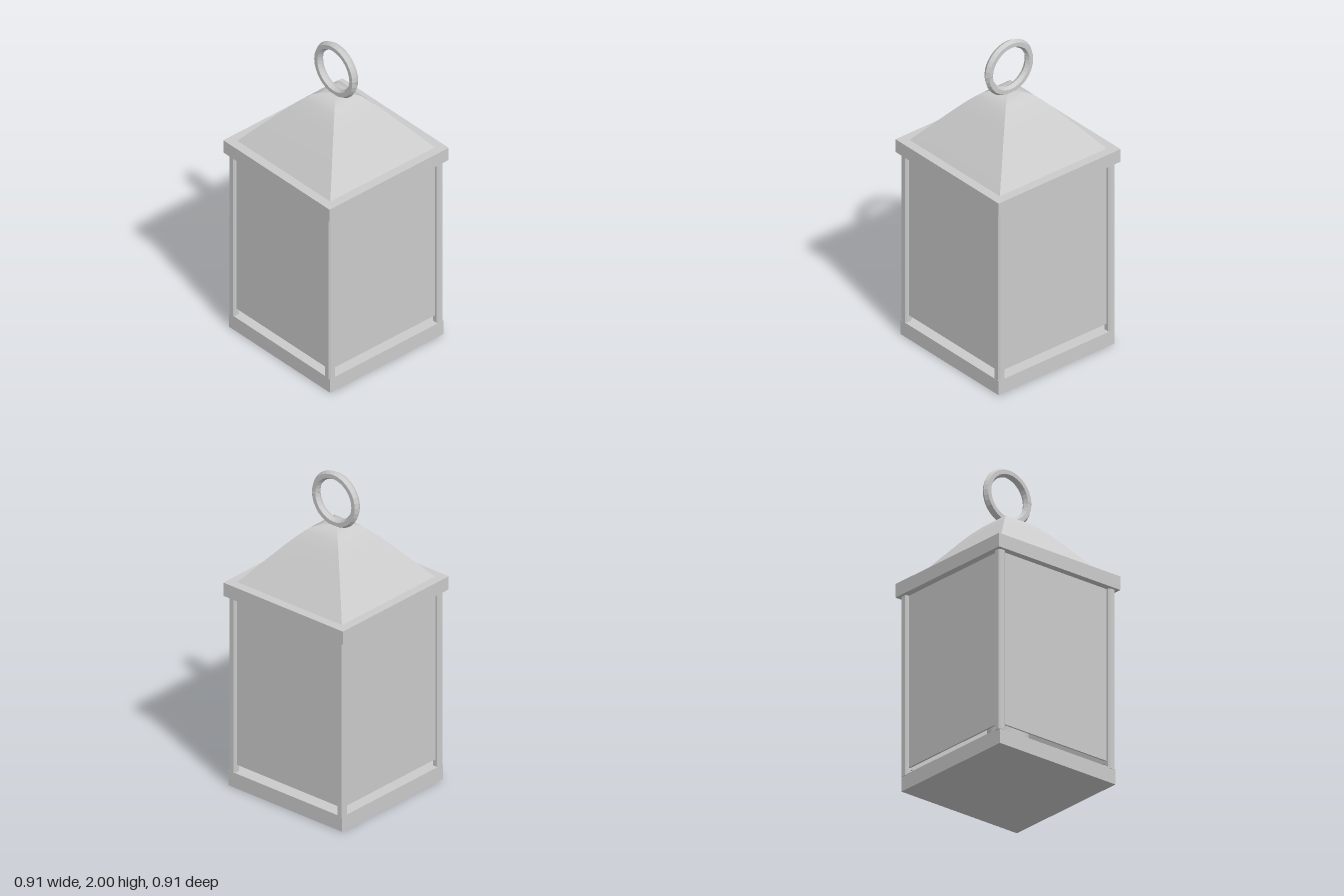
import * as THREE from 'three';

const grey = new THREE.MeshStandardMaterial({ color: 0xcccccc });
const greyThin = new THREE.MeshStandardMaterial({ color: 0xcccccc, side: THREE.DoubleSide });

function add(parent, name, geometry, x = 0, y = 0, z = 0, material = grey) {
  const mesh = new THREE.Mesh(geometry, material);
  mesh.name = name;
  mesh.position.set(x, y, z);
  parent.add(mesh);
  return mesh;
}

// Box standing between two heights
function slab(width, depth, y0, y1) {
  return new THREE.BoxGeometry(width, y1 - y0, depth).translate(0, (y0 + y1) / 2, 0);
}

// Square post with chamfered long edges
function postGeometry(half, chamfer, y0, y1) {
  const c = half - chamfer;
  const shape = new THREE.Shape([
    [half, -c], [half, c], [c, half], [-c, half],
    [-half, c], [-half, -c], [-c, -half], [c, -half],
  ].map(([x, y]) => new THREE.Vector2(x, y)));
  return new THREE.ExtrudeGeometry(shape, { depth: y1 - y0, bevelEnabled: false })
    .rotateX(-Math.PI / 2).translate(0, y0, 0);
}

// One side of the roof, smooth up the slope and sharp at the hips
function roofSide(profile) {
  const positions = [];
  const index = [];
  profile.forEach(([r, y], i) => {
    positions.push(-r, y, r, r, y, r);
    if (i > 0) {
      const a = 2 * (i - 1);
      index.push(a, a + 1, a + 3, a, a + 3, a + 2);
    }
  });
  const geometry = new THREE.BufferGeometry();
  geometry.setAttribute('position', new THREE.Float32BufferAttribute(positions, 3));
  geometry.setIndex(index);
  geometry.computeVertexNormals();
  return geometry;
}

export function createModel() {
  const lantern = new THREE.Group();
  lantern.name = 'lantern';

  // Base tray and the square plate under the roof
  add(lantern, 'base', slab(0.865, 0.865, 0, 0.095), 0.003);
  add(lantern, 'roofPlate', slab(0.91, 0.91, 1.22, 1.305));

  // Corner posts
  const post = postGeometry(0.024, 0.009, 0.09, 1.225);
  for (const sx of [-1, 1]) {
    for (const sz of [-1, 1]) add(lantern, 'cornerPost', post, sx * 0.411, 0, sz * 0.411);
  }

  // Panes, leaving a gap above the base
  const pane = slab(0.79, 0.01, 0.14, 1.225);
  for (let i = 0; i < 4; i++) {
    const holder = new THREE.Group();
    holder.name = 'paneSide';
    holder.rotation.y = i * Math.PI / 2;
    add(holder, 'pane', pane, 0, 0, 0.408);
    lantern.add(holder);
  }

  // Candle standing on the base
  add(lantern, 'candle', new THREE.CylinderGeometry(0.12, 0.12, 0.5, 32), 0, 0.34, 0);

  // Roof: straight slopes curving over to a small soft crown
  const profile = [
    [0.4, 1.303], [0.3, 1.425], [0.2, 1.545], [0.16, 1.59],
    [0.13, 1.62], [0.1, 1.648], [0.06, 1.662], [0, 1.667],
  ];
  const side = roofSide(profile);
  for (let i = 0; i < 4; i++) {
    add(lantern, 'roofSide', side, 0, 0, 0, greyThin).rotation.y = i * Math.PI / 2;
  }

  // Hanging ring with a hexagonal section and a fine seam
  const seam = 0.03;
  const ring = new THREE.TorusGeometry(0.15, 0.026, 6, 32, Math.PI * 2 - seam);
  const ringMaterial = new THREE.MeshStandardMaterial({
    color: 0xcccccc, flatShading: true, side: THREE.DoubleSide,
  });
  add(lantern, 'hangingRing', ring, -0.003, 1.824, -0.004, ringMaterial).rotation.z = seam / 2;

  return lantern;
}
